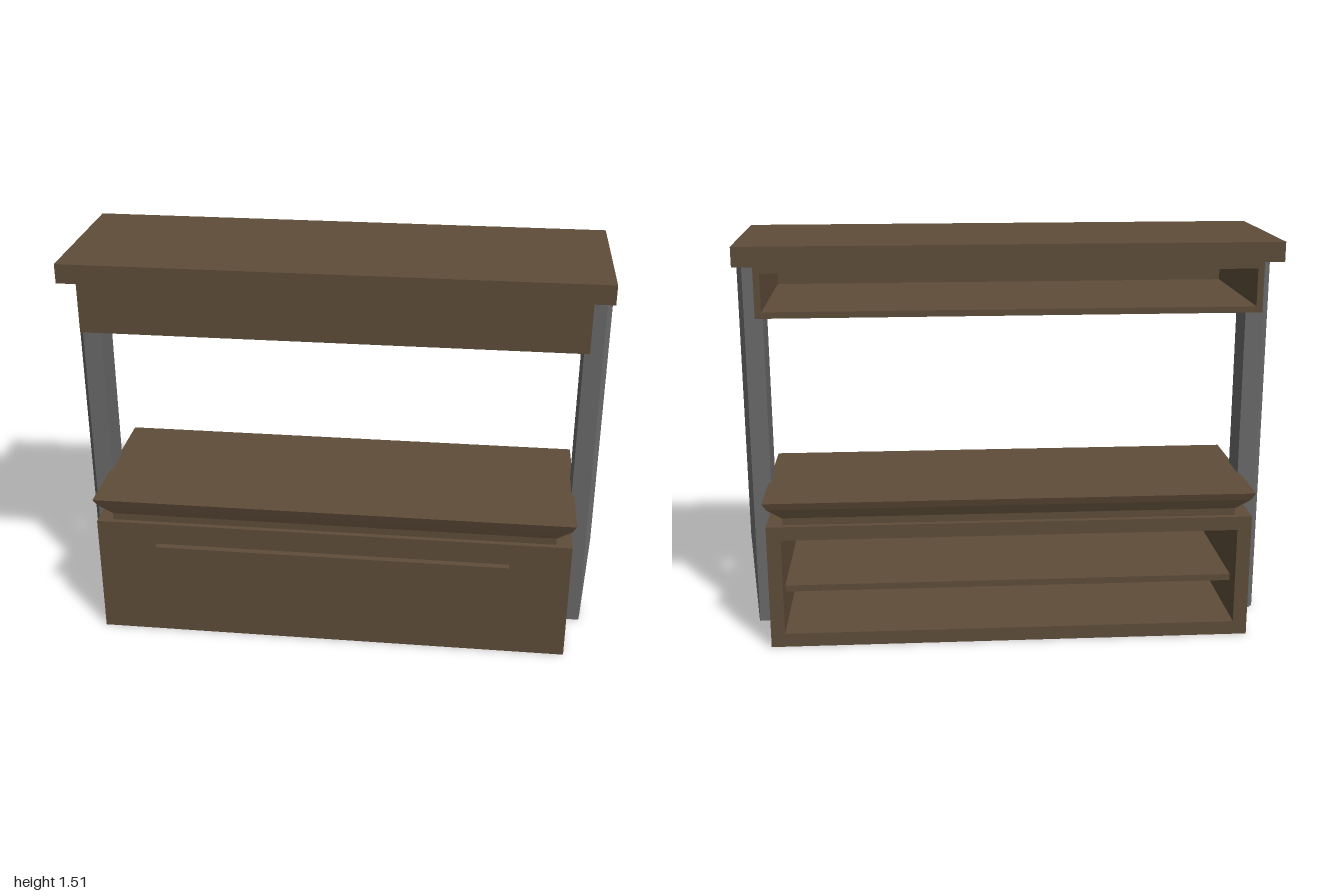
import * as THREE from 'three';

const wood = new THREE.MeshStandardMaterial({ color: 0x5f4d39, flatShading: true });
const metal = new THREE.MeshStandardMaterial({ color: 0x696969, flatShading: true });

// Box given by its limits on each axis
function block(name, x0, x1, y0, y1, z0, z1) {
  const mesh = new THREE.Mesh(new THREE.BoxGeometry(x1 - x0, y1 - y0, z1 - z0), wood);
  mesh.position.set((x0 + x1) / 2, (y0 + y1) / 2, (z0 + z1) / 2);
  mesh.name = name;
  return mesh;
}

// Cabinet made of five boards, open at the back
function cabinet(name, w, y0, y1, z0, z1, t) {
  const g = new THREE.Group();
  g.name = name;
  g.add(
    block('bottomBoard', -w, w, y0, y0 + t, z0, z1),
    block('topBoard', -w, w, y1 - t, y1, z0, z1),
    block('frontBoard', -w, w, y0 + t, y1 - t, z1 - t, z1),
    block('leftBoard', w - t, w, y0 + t, y1 - t, z0, z1 - t),
    block('rightBoard', -w, -w + t, y0 + t, y1 - t, z0, z1 - t)
  );
  return g;
}

// Flared counter: stacked rectangles [halfWidth, back, front, height]
function flaredTop(rings) {
  const pos = [];
  const corners = ([w, b, f, y]) => [[-w, y, f], [w, y, f], [w, y, b], [-w, y, b]];
  const quad = (a, b, c, d) => pos.push(...a, ...b, ...c, ...a, ...c, ...d);
  for (let i = 0; i < rings.length - 1; i++) {
    const lo = corners(rings[i]), hi = corners(rings[i + 1]);
    for (let k = 0; k < 4; k++) {
      const n = (k + 1) % 4;
      quad(lo[k], lo[n], hi[n], hi[k]);
    }
  }
  quad(...corners(rings[rings.length - 1]));
  quad(...corners(rings[0]).reverse());
  const geo = new THREE.BufferGeometry();
  geo.setAttribute('position', new THREE.Float32BufferAttribute(pos, 3));
  geo.computeVertexNormals();
  return geo;
}

// Upright post with a chamfered outer face; side is +1 or -1
function post(side) {
  const outline = [[0.91, 0.06], [0.98, 0.06], [1, 0.03], [1, -0.06], [0.98, -0.085], [0.91, -0.085]];
  const shape = new THREE.Shape(outline.map(([x, z]) => new THREE.Vector2(side * x, -z)));
  const geo = new THREE.ExtrudeGeometry(shape, { depth: 1.445, steps: 4, bevelEnabled: false });
  geo.rotateX(-Math.PI / 2);
  // The left post narrows slightly at its foot
  const p = geo.attributes.position;
  for (let i = 0; i < p.count; i++) {
    if (p.getX(i) > 0.985 && p.getY(i) < 0.01) p.setX(i, 0.985);
  }
  geo.computeVertexNormals();
  const mesh = new THREE.Mesh(geo, metal);
  mesh.name = side > 0 ? 'leftPost' : 'rightPost';
  return mesh;
}

export function createModel() {
  const model = new THREE.Group();
  model.name = 'stall';

  // Lower cabinet with inner shelf and raised front panel
  model.add(cabinet('baseCabinet', 0.91, 0, 0.48, -0.332, 0.31, 0.053));
  model.add(block('innerShelf', -0.857, 0.857, 0.19, 0.215, -0.25, 0.257));
  model.add(block('frontPanel', -0.68, 0.68, 0.09, 0.393, 0.31, 0.336));

  // Counter with a narrow neck and flared edge
  const counter = new THREE.Mesh(flaredTop([
    [0.85, -0.31, 0.29, 0.48],
    [0.85, -0.31, 0.29, 0.507],
    [0.905, -0.327, 0.303, 0.545],
    [0.92, -0.335, 0.312, 0.572]
  ]), wood);
  counter.name = 'counter';
  model.add(counter);

  // Upper cabinet under a wider roof slab
  model.add(cabinet('upperCabinet', 0.91, 1.26, 1.443, -0.325, 0.302, 0.023));
  model.add(block('roofSlab', -0.983, 0.983, 1.443, 1.515, -0.325, 0.302));

  // Posts on both sides
  for (const side of [-1, 1]) model.add(post(side));
  return model;
}
